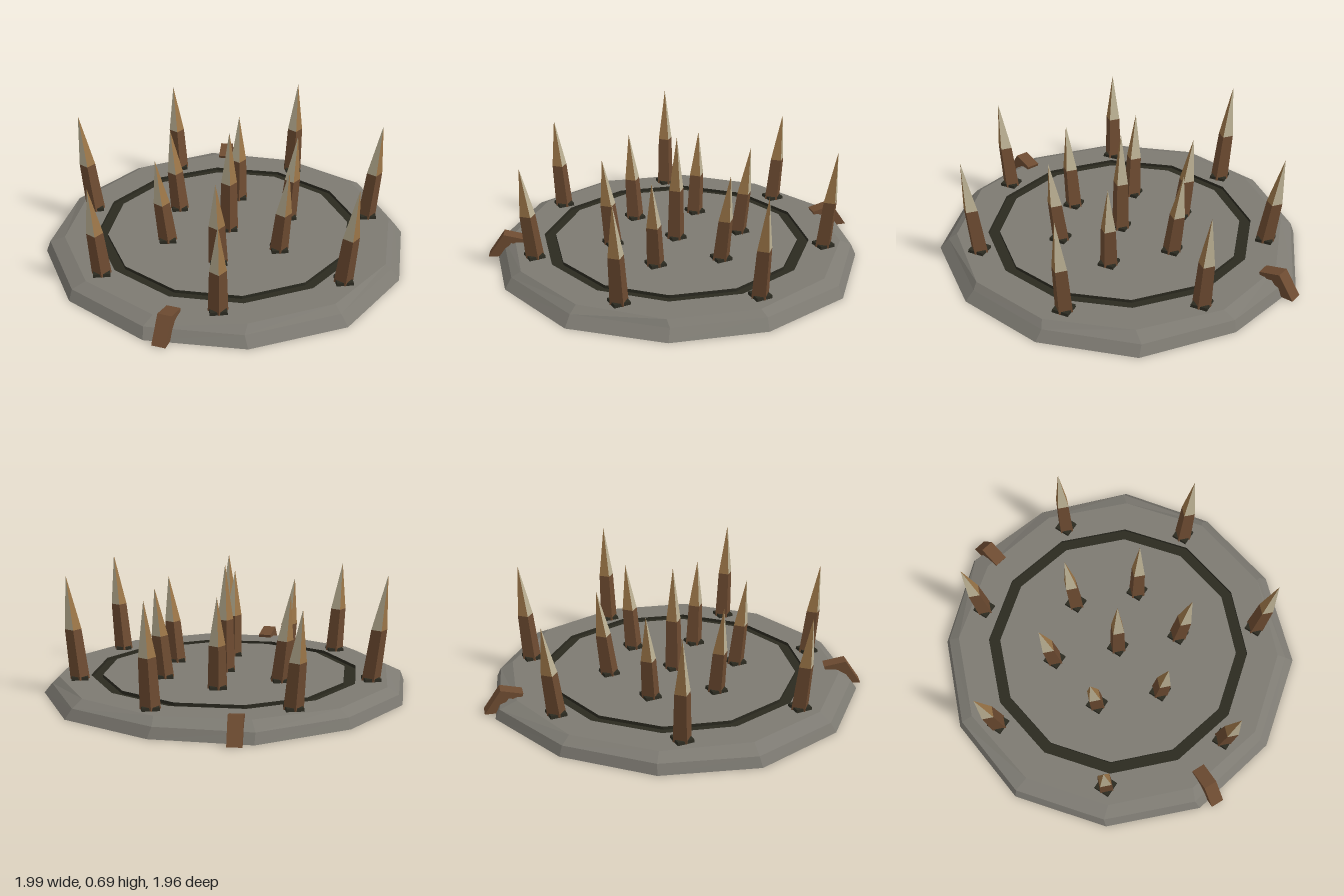
import * as THREE from 'three';

function mat(name, color, double = false) {
  const m = new THREE.MeshStandardMaterial({ color });
  m.name = name;
  if (double) m.side = THREE.DoubleSide;
  return m;
}

// Flat facets without sharing vertices
function faceted(geo) {
  const g = geo.index ? geo.toNonIndexed() : geo;
  g.clearGroups();
  g.computeVertexNormals();
  return g;
}

// Joins loops of equal length with quads, from outside to inside
function loft(loops) {
  const pos = [];
  for (let k = 0; k < loops.length - 1; k++) {
    const a = loops[k], b = loops[k + 1], n = a.length;
    for (let i = 0; i < n; i++) {
      const j = (i + 1) % n;
      pos.push(...a[i], ...a[j], ...b[j], ...a[i], ...b[j], ...b[i]);
    }
  }
  const g = new THREE.BufferGeometry();
  g.setAttribute('position', new THREE.Float32BufferAttribute(pos, 3));
  return faceted(g);
}

// Regular twelve-sided loop
function loop(r, y) {
  return Array.from({ length: 12 }, (_, i) => {
    const t = (i * 30 - 15) * Math.PI / 180;
    return [r * Math.sin(t), y, r * Math.cos(t)];
  });
}

export function createModel() {
  const model = new THREE.Group();
  model.name = 'spikeTrap';
  const stone = mat('stone', 0x7d7a72, true);
  const dark = mat('darkGroove', 0x2b2a20, true);
  const wood = mat('wood', 0x6d4b31);
  const tan = mat('cutWood', 0x9c7648);
  const pale = mat('paleCutWood', 0xbcb194);

  const add = (parent, name, geo, material) => {
    const m = new THREE.Mesh(geo, material);
    m.name = name;
    parent.add(m);
    return m;
  };

  // Hollow stone slab with an uneven rim
  const rim = [[-0.26, 0.985], [0.27, 0.96], [0.71, 0.705], [0.995, 0.26], [0.975, -0.27], [0.74, -0.73],
    [0.26, -0.965], [-0.26, -0.97], [-0.72, -0.73], [-0.985, -0.27], [-0.99, 0.26], [-0.72, 0.71]];
  const top = 0.088;
  add(model, 'slabRim', loft([
    rim.map(([x, z]) => [x, 0, z]),
    rim.map(([x, z]) => [x * 0.97, 0.055, z * 0.965 - 0.015]),
    loop(0.92, top), loop(0.745, top),
  ]), stone);
  add(model, 'slabCentre', loft([loop(0.68, top), loop(0.02, top)]), stone);

  // Sunken dark ring
  add(model, 'groove', loft([loop(0.745, top), loop(0.745, 0.07), loop(0.68, 0.07), loop(0.68, top)]), dark);

  // Sharpened stakes: base x, base z, tip x, tip z, height
  const stakes = [
    [0, 0, 0.005, 0, 0.685],
    [0, 0.355, 0, 0.41, 0.58], [0, -0.37, 0, -0.43, 0.57],
    [-0.31, 0.18, -0.355, 0.2, 0.585], [0.315, 0.18, 0.365, 0.2, 0.585],
    [-0.31, -0.185, -0.355, -0.22, 0.585], [0.315, -0.185, 0.365, -0.22, 0.585],
    [-0.31, -0.75, -0.335, -0.82, 0.665], [0.39, -0.715, 0.42, -0.78, 0.6],
    [0.81, -0.15, 0.86, -0.16, 0.64], [-0.78, -0.23, -0.83, -0.245, 0.61],
    [-0.655, 0.465, -0.7, 0.505, 0.61], [0.615, 0.525, 0.655, 0.57, 0.655],
    [-0.04, 0.805, -0.04, 0.87, 0.65],
  ];
  for (const [bx, bz, tx, tz, h] of stakes) {
    const stake = new THREE.Group();
    stake.name = 'stake';
    model.add(stake);

    // Leans a straight geometry from the base towards the tip
    const lean = (g) => {
      const p = g.attributes.position;
      for (let i = 0; i < p.count; i++) {
        const f = (p.getY(i) - 0.1) / (h - 0.1);
        p.setX(i, p.getX(i) + bx + (tx - bx) * f);
        p.setZ(i, p.getZ(i) + bz + (tz - bz) * f);
      }
      return faceted(g);
    };
    const joint = h * 0.555, low = 0.02;
    add(stake, 'stakeShaft', lean(new THREE.CylinderGeometry(0.044, 0.054, joint - low, 4)
      .rotateY(Math.PI / 4).translate(0, (joint + low) / 2, 0)), wood);

    // Tip faces alternate between two cut colours
    const tip = lean(new THREE.ConeGeometry(0.044, h - joint, 4, 1, true)
      .rotateY(Math.PI / 4).translate(0, (joint + h) / 2, 0));
    for (let i = 0; i < 4; i++) tip.addGroup(i * 3, 3, i % 2);
    add(stake, 'stakeTip', tip, [pale, tan]);

    const collar = add(stake, 'stakeCollar', faceted(new THREE.CylinderGeometry(0.062, 0.066, 0.025, 4)), dark);
    collar.position.set(bx, 0.0925, bz);
  }

  // Bent wooden hooks over the rim
  const hook = new THREE.Shape([[1.05, 0.005], [0.96, 0.135], [0.84, 0.105], [0.85, 0.075], [0.92, 0.085], [0.98, 0.005]]
    .map(([x, y]) => new THREE.Vector2(x, y)));
  for (const [x, z, angle] of [[-0.888, 0.325, 200], [0.745, -0.625, 33]]) {
    const g = new THREE.ExtrudeGeometry(hook, { depth: 0.075, bevelEnabled: false });
    const m = add(model, 'rimHook', faceted(g.translate(-0.945, 0, -0.0375)), wood);
    m.position.set(x, 0, z);
    m.rotation.y = angle * Math.PI / 180;
  }
  return model;
}
